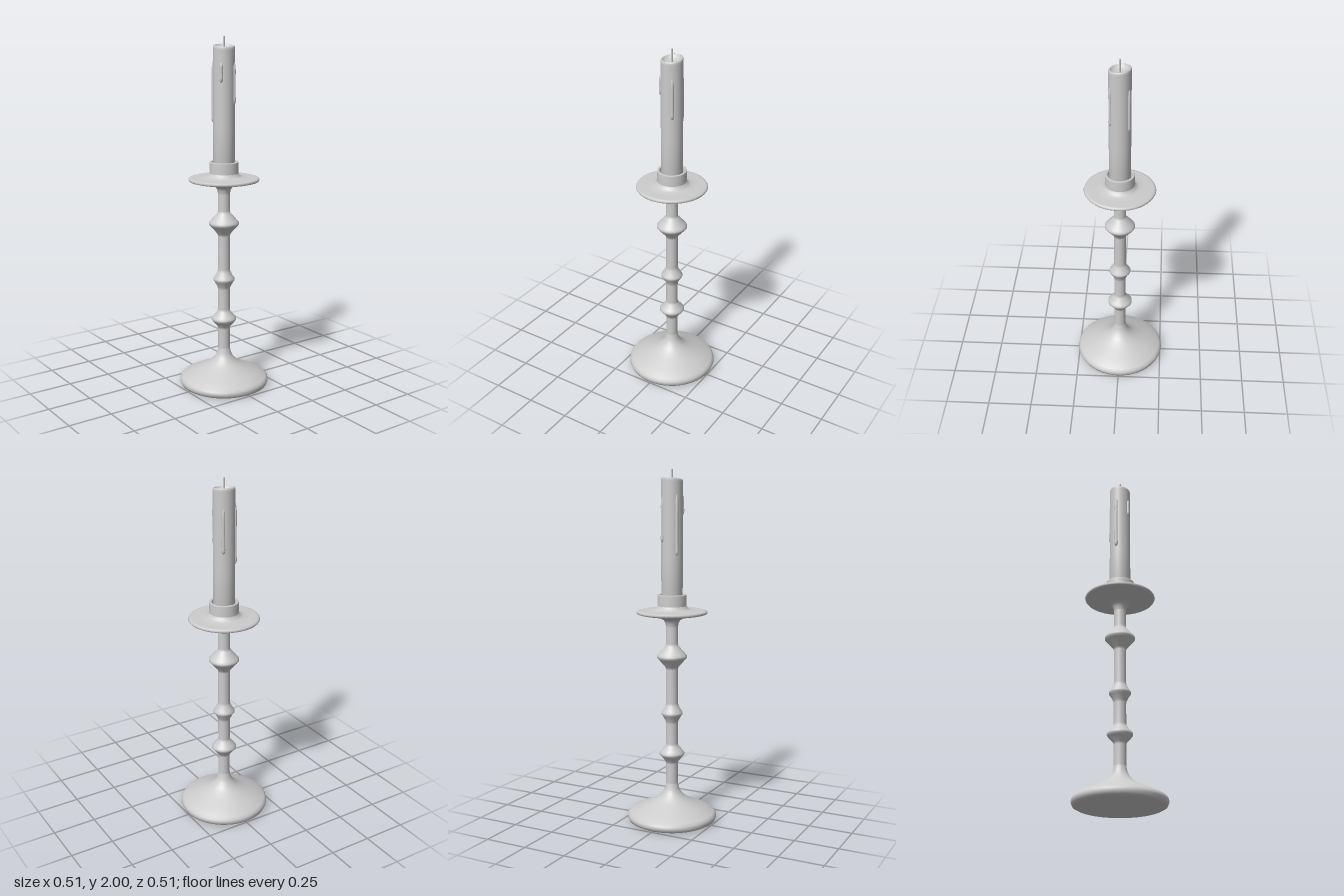
import * as THREE from 'three';

const material = new THREE.MeshStandardMaterial({ color: 0xcccccc, side: THREE.DoubleSide });

function mesh(name, geometry) {
  const m = new THREE.Mesh(geometry, material);
  m.name = name;
  return m;
}

function lathe(name, points, segments = 48) {
  return mesh(name, new THREE.LatheGeometry(points.map(([r, y]) => new THREE.Vector2(r, y)), segments));
}

// Double-cone knob with a softened waist, as profile points
function knob(y, radius, half, stem) {
  return [
    [stem, y - half - 0.015], [stem + 0.003, y - half],
    [radius - 0.008, y - 0.015], [radius, y - 0.005], [radius, y + 0.005], [radius - 0.008, y + 0.015],
    [stem + 0.003, y + half], [stem, y + half + 0.015],
  ];
}

export function createModel() {
  const group = new THREE.Group();
  group.name = 'candlestick';
  const stem = 0.034;

  // Broad domed foot
  group.add(lathe('foot', [
    [0, 0], [0.235, 0], [0.25, 0.008], [0.257, 0.025], [0.254, 0.04], [0.242, 0.053],
    [0.19, 0.079], [0.14, 0.102], [0.1, 0.122], [0.073, 0.142], [0.052, 0.165],
    [0.04, 0.19], [stem, 0.22],
  ]));

  // Turned stem with three knobs
  group.add(lathe('stem', [
    [stem, 0.22],
    ...knob(0.395, 0.071, 0.045, stem),
    ...knob(0.632, 0.061, 0.045, stem),
    ...knob(0.96, 0.085, 0.06, stem),
    [stem, 1.13],
  ]));

  // Drip dish flaring out of the stem
  group.add(lathe('dripDish', [
    [stem, 1.13], [0.037, 1.15], [0.047, 1.168], [0.07, 1.18], [0.12, 1.19], [0.18, 1.2],
    [0.195, 1.204], [0.2, 1.211], [0.196, 1.219], [0.185, 1.222],
    [0.14, 1.222], [0.105, 1.226], [0.09, 1.234], [0.082, 1.248],
  ]));

  // Cup holding the candle
  group.add(lathe('cup', [
    [0.082, 1.248], [0.082, 1.307], [0.08, 1.312], [0.07, 1.312], [0.067, 1.307],
    [0.067, 1.24], [0, 1.24],
  ]));

  // Candle with a melted hollow; its top tilts
  const candle = lathe('candle', [
    [0, 1.242], [0.06, 1.242], [0.06, 1.5], [0.06, 1.75], [0.06, 1.93], [0.0605, 1.94],
    [0.058, 1.947], [0.053, 1.949], [0.049, 1.945], [0.045, 1.936], [0.03, 1.928], [0, 1.925],
  ]);
  const p = candle.geometry.attributes.position;
  for (let i = 0; i < p.count; i++) {
    if (p.getY(i) > 1.9) p.setY(i, p.getY(i) - 0.11 * p.getX(i) - 0.04 * p.getZ(i));
  }
  candle.geometry.computeVertexNormals();
  group.add(candle);

  // Wick
  group.add(lathe('wick', [[0.005, 1.915], [0.005, 1.996], [0.003, 2], [0, 2]], 10));

  // Wax drips: x and z direction, lower end, upper end
  const drips = [
    [-0.038, 0.052, 1.53, 1.87],
    [0.042, 0.05, 1.75, 1.86],
    [0.055, -0.036, 1.63, 1.86],
    [-0.054, -0.038, 1.6, 1.85],
  ];
  for (const [x, z, low, high] of drips) {
    const h = high - low;
    const drip = lathe('waxDrip', [
      [0, 0], [0.006, 0.004], [0.0095, 0.014], [0.0105, 0.025], [0.009, 0.045],
      [0.0085, h * 0.6], [0.0095, h * 0.8], [0.007, h * 0.93], [0, h],
    ], 14);
    const angle = Math.atan2(x, z);
    drip.position.set(0.059 * Math.sin(angle), low, 0.059 * Math.cos(angle));
    group.add(drip);
  }
  return group;
}
